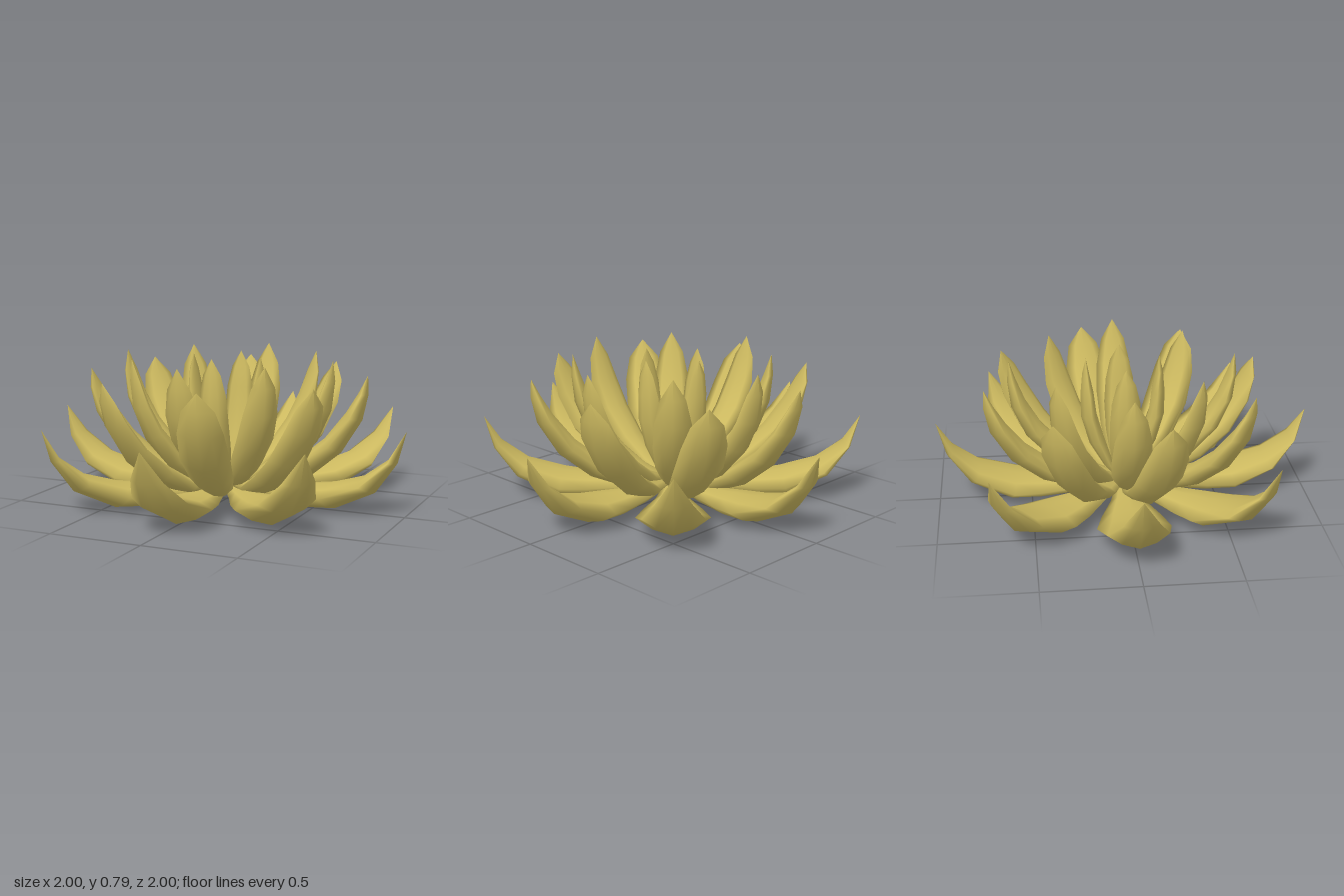
import * as THREE from 'three';

// Rounded petal cross-section: [side, depth] as fractions of half width and thickness
const SECTION = [
  [-1, 0.7], [-0.55, 0.25], [0, 0], [0.55, 0.25],
  [1, 0.7], [0.6, 0.95], [0, 1.06], [-0.6, 0.95],
];

// Each ring: petal count, first angle in degrees, reach of every second petal
// and the petal rows [distance from centre, keel height, half width, thickness]
const RINGS = [
  { name: 'outerPetal', count: 8, turn: 0, reach: 1.015, rows: [
    [0.05, 0.06, 0, 0], [0.05, 0.05, 0.04, 0.05], [0.25, 0.01, 0.09, 0.09], [0.45, 0, 0.155, 0.12],
    [0.62, 0.01, 0.19, 0.13], [0.84, 0.115, 0.155, 0.1], [0.955, 0.28, 0.09, 0.045], [1, 0.45, 0, 0]] },
  { name: 'middlePetal', count: 8, turn: 32, reach: 1, rows: [
    [0.05, 0.08, 0, 0], [0.05, 0.07, 0.04, 0.05], [0.25, 0.06, 0.08, 0.08], [0.45, 0.14, 0.115, 0.11],
    [0.62, 0.28, 0.13, 0.11], [0.73, 0.46, 0.118, 0.09], [0.76, 0.6, 0.085, 0.05], [0.755, 0.7, 0, 0]] },
  { name: 'upperPetal', count: 8, turn: 0, reach: 0.88, rows: [
    [0.05, 0.09, 0, 0], [0.05, 0.08, 0.04, 0.04], [0.2, 0.1, 0.065, 0.08], [0.37, 0.2, 0.092, 0.1],
    [0.52, 0.36, 0.103, 0.1], [0.595, 0.53, 0.095, 0.08], [0.612, 0.68, 0.065, 0.045], [0.6, 0.79, 0, 0]] },
  { name: 'innerPetal', count: 4, turn: 0, reach: 1, rows: [
    [0.045, 0.1, 0, 0], [0.045, 0.1, 0.04, 0.01], [0.1, 0.16, 0.06, 0.05], [0.18, 0.3, 0.08, 0.08],
    [0.225, 0.46, 0.085, 0.08], [0.225, 0.6, 0.075, 0.065], [0.215, 0.71, 0.05, 0.035], [0.195, 0.79, 0, 0]] },
];

// Sweeps the section along the keel curve, pointing along +x
function petalGeometry(rows) {
  const positions = [], indices = [], n = SECTION.length;
  rows.forEach(([r, y, w, t], i) => {
    const before = rows[Math.max(i - 1, 0)];
    const after = rows[Math.min(i + 1, rows.length - 1)];
    const dx = after[0] - before[0], dy = after[1] - before[1];
    const len = Math.hypot(dx, dy) || 1;
    for (const [side, depth] of SECTION) {
      positions.push(r - (dy / len) * depth * t, y + (dx / len) * depth * t, side * w);
    }
  });
  for (let i = 0; i < rows.length - 1; i++) {
    for (let j = 0; j < n; j++) {
      const a = i * n + j, b = i * n + (j + 1) % n, c = a + n, d = b + n;
      if (i === 0) indices.push(a, c, d); // closed base
      else indices.push(a, c, b);
      if (i > 0 && i < rows.length - 2) indices.push(b, c, d);
    }
  }
  const geometry = new THREE.BufferGeometry();
  geometry.setAttribute('position', new THREE.Float32BufferAttribute(positions, 3));
  geometry.setIndex(indices);
  geometry.computeVertexNormals();
  return geometry;
}

export function createModel() {
  const model = new THREE.Group();
  model.name = 'lotusFlower';
  const gold = new THREE.MeshStandardMaterial({ color: 0xcdba60 });
  gold.name = 'oldGold';

  // Rings of petals around an open centre
  for (const { name, count, turn, reach, rows } of RINGS) {
    const ring = new THREE.Group();
    ring.name = name + 'Ring';
    const alternate = rows.map(([r, ...rest], i) => [i < 2 ? r : r * reach, ...rest]);
    const geometries = [petalGeometry(rows), petalGeometry(alternate)];
    for (let k = 0; k < count; k++) {
      const petal = new THREE.Mesh(geometries[k % 2], gold);
      petal.name = name;
      petal.rotation.y = -THREE.MathUtils.degToRad(turn + (k * 360) / count);
      ring.add(petal);
    }
    model.add(ring);
  }
  return model;
}
